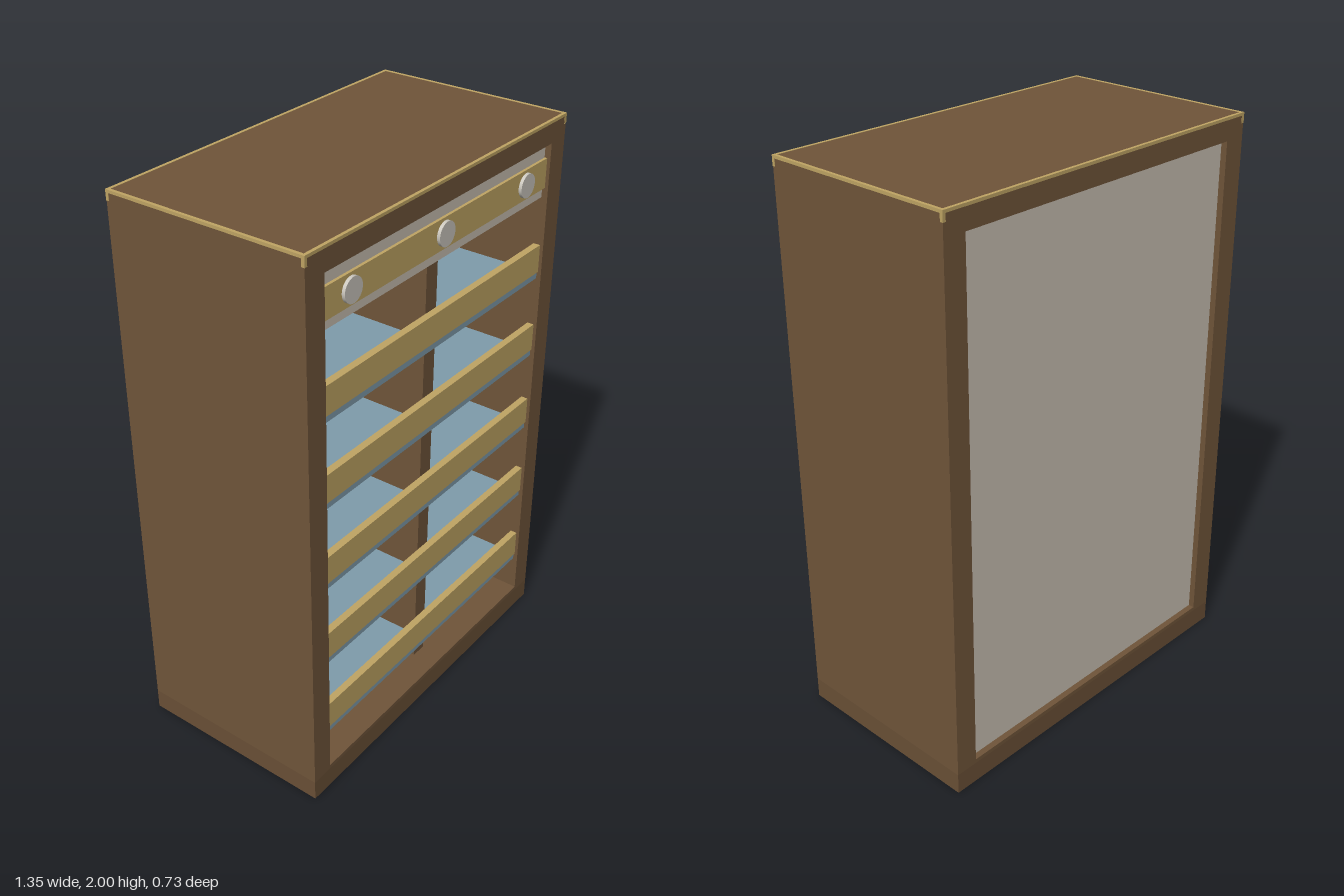
import * as THREE from 'three';

const mat = (name, color) => {
  const m = new THREE.MeshStandardMaterial({ color });
  m.name = name;
  return m;
};

export function createModel() {
  const wood = mat('brown wood', 0x70553a);
  const plinthWood = mat('plinth brown', 0x6a5036);
  const brass = mat('brass', 0xc0a564);
  const cream = mat('warm grey', 0xc9c0b2);
  const glass = mat('blue glass', 0x7f9cab);
  const silver = mat('silver', 0xcbc7be);

  const root = new THREE.Group();
  root.name = 'shelfCabinet';

  // Box from its minimum and maximum along each axis
  const box = (name, m, [x0, x1], [y0, y1], [z0, z1], parent = root) => {
    const mesh = new THREE.Mesh(new THREE.BoxGeometry(x1 - x0, y1 - y0, z1 - z0), m);
    mesh.position.set((x0 + x1) / 2, (y0 + y1) / 2, (z0 + z1) / 2);
    mesh.name = name;
    parent.add(mesh);
    return mesh;
  };

  const W = 0.672, D = 0.362, IN = 0.59, T = 0.01;

  // Carcass
  box('plinth', plinthWood, [-W, W], [0, 0.075], [-D, D]);
  box('floor', wood, [-W, W], [0.075, 0.09], [-D, D]);
  box('top', wood, [-W, W], [1.92, 1.999], [-D, D]);
  box('leftSide', wood, [IN, W], [0.09, 1.92], [-D, D]);
  box('rightSide', wood, [-W, -IN], [0.09, 1.92], [-D, D]);
  box('backPanel', cream, [-IN, IN], [0.09, 1.92], [-0.34, -0.32]);
  box('divider', wood, [-0.029, 0.029], [0.15, 1.73], [-0.32, 0.31]);

  // Brass edging around the top, with short corner drops
  const trim = new THREE.Group();
  trim.name = 'topTrim';
  root.add(trim);
  const e = 0.001;
  for (const s of [-1, 1]) {
    const zs = [s * D - (s > 0 ? T : e), s * D + (s > 0 ? e : T)];
    const xs = [s * W - (s > 0 ? T : e), s * W + (s > 0 ? e : T)];
    box('longEdge', brass, [-W - e, W + e], [1.99, 2], zs, trim);
    box('shortEdge', brass, xs, [1.99, 2], [-D + T, D - T], trim);
    for (const t of [-1, 1]) {
      const zc = [t * D - (t > 0 ? T : e), t * D + (t > 0 ? e : T)];
      box('cornerDrop', brass, xs, [1.965, 1.99], zc, trim);
    }
  }

  // Shelves, each with a brass rail standing on its front edge
  for (let i = 0; i < 5; i++) {
    const y = 0.225 + i * 0.3025;
    const shelf = new THREE.Group();
    shelf.name = 'shelf' + (i + 1);
    root.add(shelf);
    box('shelfBoard', glass, [-IN, IN], [y, y + 0.025], [-0.32, 0.345], shelf);
    box('shelfRail', brass, [-IN, IN], [y + 0.025, y + 0.125], [0.325, 0.35], shelf);
  }

  // Upper fascia with brass band and three round discs
  box('fascia', cream, [-IN, IN], [1.73, 1.92], [0.3, 0.34]);
  box('fasciaBand', brass, [-IN, IN], [1.765, 1.868], [0.34, 0.35]);
  for (const x of [-0.46, 0, 0.46]) {
    const disc = new THREE.Mesh(new THREE.CylinderGeometry(0.041, 0.041, 0.012, 32), silver);
    disc.rotation.x = Math.PI / 2;
    disc.position.set(x, 1.817, 0.355);
    disc.name = 'fasciaDisc';
    root.add(disc);
  }

  return root;
}
